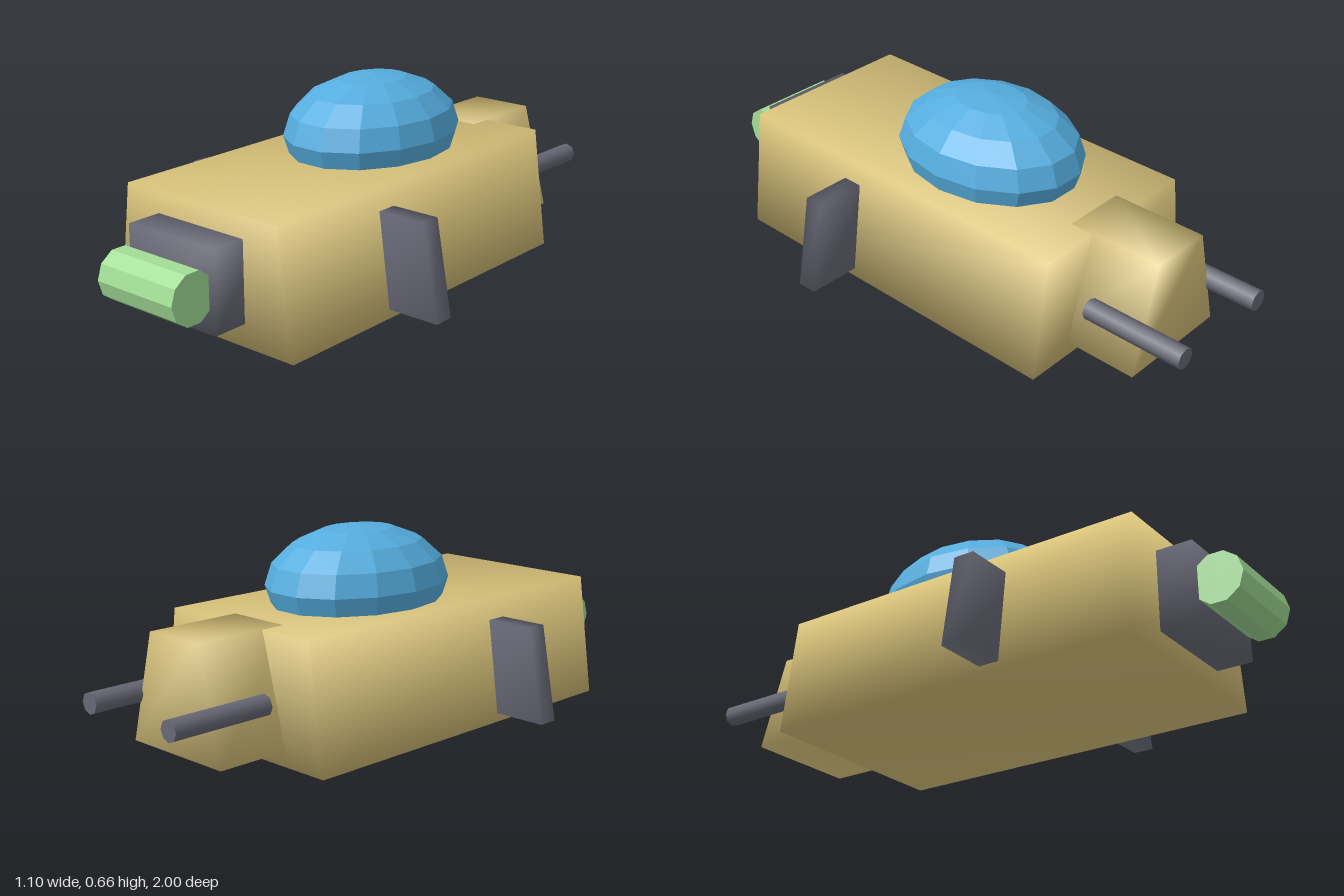
import * as THREE from 'three';
import { mergeVertices } from 'three/addons/utils/BufferGeometryUtils.js';

const mat = (name, color, flat = false) => {
  const m = new THREE.MeshStandardMaterial({ color, flatShading: flat });
  m.name = name;
  return m;
};

// Box whose bottom and top have their own x ranges, with softly shared corner normals
function taperedBox([b0, b1], [t0, t1], [y0, y1], [z0, z1]) {
  const g = new THREE.BoxGeometry(1, 1, 1);
  const p = g.attributes.position;
  for (let i = 0; i < p.count; i++) {
    const right = p.getX(i) > 0, top = p.getY(i) > 0;
    p.setXYZ(i, top ? (right ? t1 : t0) : (right ? b1 : b0), top ? y1 : y0, p.getZ(i) > 0 ? z1 : z0);
  }
  g.deleteAttribute('uv');
  g.deleteAttribute('normal');
  const merged = mergeVertices(g);
  merged.computeVertexNormals();
  return merged;
}

export function createModel() {
  const model = new THREE.Group();
  model.name = 'vehicle';
  const gold = mat('goldHull', 0xdac47b);
  const grey = mat('darkGrey', 0x686876);
  const greyFlat = grey;
  const blue = mat('blueGlass', 0x55addf, true);
  const green = mat('greenLight', 0xa2dd95, true);

  const add = (name, geometry, material) => {
    const mesh = new THREE.Mesh(geometry, material);
    mesh.name = name;
    model.add(mesh);
    return mesh;
  };

  // Hull and rear engine block
  add('hull', taperedBox([-0.37, 0.37], [-0.315, 0.315], [0, 0.41], [-0.58, 0.735]), gold);
  add('rearBlock', taperedBox([-0.205, 0.205], [-0.11, 0.11], [0.05, 0.411], [-0.83, -0.5]), gold);

  // Faceted canopy, sunk into the hull
  const canopy = add('canopy', new THREE.SphereGeometry(1, 14, 8), blue);
  canopy.scale.set(0.262, 0.19, 0.337);
  canopy.position.set(0, 0.47, -0.067);

  // Front housing with a ten-sided light bar
  add('frontHousing', taperedBox([-0.178, 0.178], [-0.178, 0.178], [0.075, 0.34], [0.65, 0.855]), grey);
  const bar = new THREE.CylinderGeometry(0.084, 0.084, 0.314, 10).rotateZ(Math.PI / 2);
  add('lightBar', bar, green).position.set(0, 0.206, 0.916);

  // Side fins and rear barrels
  for (const [side, s] of [['left', 1], ['right', -1]]) {
    const range = (a, b) => (s > 0 ? [a, b] : [-b, -a]);
    add(side + 'Fin', taperedBox(range(0.25, 0.55), range(0.25, 0.493), [0.028, 0.34], [0.222, 0.292]), grey);
    const barrel = new THREE.CylinderGeometry(0.035, 0.035, 0.355, 8).rotateX(Math.PI / 2);
    add(side + 'Barrel', barrel, greyFlat).position.set(s * 0.19, 0.207, -0.8225);
  }
  return model;
}
